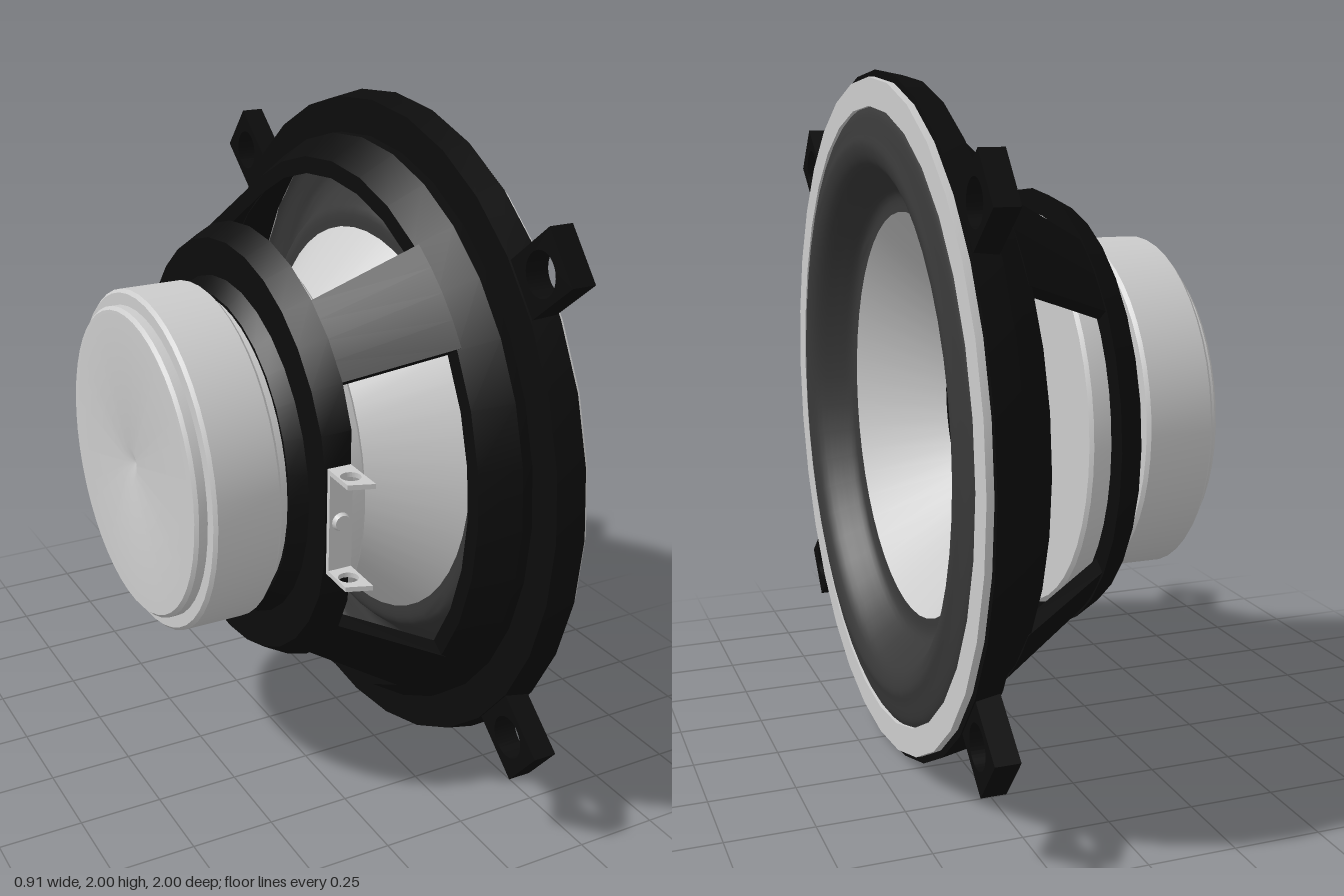
import * as THREE from 'three';
import { toCreasedNormals } from 'three/addons/utils/BufferGeometryUtils.js';

const grey = new THREE.MeshStandardMaterial({ color: 0xcccccc, side: THREE.DoubleSide });
const black = new THREE.MeshStandardMaterial({ color: 0x0c0c0c, side: THREE.DoubleSide });
const rubber = new THREE.MeshStandardMaterial({ color: 0x383838, side: THREE.DoubleSide });
const rad = THREE.MathUtils.degToRad;

function part(parent, name, geometry, material) {
  const mesh = new THREE.Mesh(geometry, material);
  mesh.name = name;
  parent.add(mesh);
  return mesh;
}

// Profile points are [radius, position along the axis]
function turned(profile, segments = 48, crease = 0.5) {
  const points = profile.map(([r, a]) => new THREE.Vector2(r, a));
  return toCreasedNormals(new THREE.LatheGeometry(points, segments), crease);
}

// Box bent around the axis and sloped outward
function armGeometry(centre) {
  const g = new THREE.BoxGeometry(1, 1, 1, 4, 1, 1);
  const p = g.attributes.position;
  for (let i = 0; i < p.count; i++) {
    const phi = centre + p.getX(i) * rad(22);
    const a = THREE.MathUtils.lerp(-0.075, 0.21, p.getY(i) + 0.5);
    const r = 0.652 + (a + 0.065) * 0.64 + (p.getZ(i) - 0.5) * 0.05;
    p.setXYZ(i, r * Math.sin(phi), a, r * Math.cos(phi));
  }
  return toCreasedNormals(g, 0.5);
}

// Flat plate with one round hole
function holedPlate(corners, hx, hy, hr, depth) {
  const shape = new THREE.Shape(corners.map(([x, y]) => new THREE.Vector2(x, y)));
  shape.holes.push(new THREE.Path().absarc(hx, hy, hr, 0, Math.PI * 2, true));
  return new THREE.ExtrudeGeometry(shape, { depth, bevelEnabled: false, curveSegments: 20 });
}

export function createModel() {
  const model = new THREE.Group();
  model.name = 'loudspeaker';

  // Round parts are turned about local y, then laid along +x
  const body = new THREE.Group();
  body.name = 'driver';
  body.rotation.z = -Math.PI / 2;
  body.position.y = 1;
  model.add(body);

  // Magnet and its plates
  part(body, 'backPlate', turned([[0, -0.435], [0.05, -0.455], [0.45, -0.455], [0.46, -0.445], [0.46, -0.41]]), grey);
  part(body, 'magnet', turned([[0, -0.42], [0.495, -0.42], [0.505, -0.41], [0.505, -0.225], [0.495, -0.215], [0, -0.215]]), grey);
  part(body, 'frontPlate', turned([[0.46, -0.22], [0.46, -0.175]]), grey);

  // Basket: rear ring with a flat for the terminals
  const ring = new THREE.LatheGeometry([
    [0, -0.18], [0.47, -0.18], [0.51, -0.14], [0.62, -0.14], [0.66, -0.065], [0, -0.065],
  ].map(([r, a]) => new THREE.Vector2(r, a)), 32);
  const rp = ring.attributes.position;
  for (let i = 0; i < rp.count; i++) rp.setZ(i, Math.min(rp.getZ(i), 0.6));
  part(body, 'basketRing', toCreasedNormals(ring, 0.5), black);

  for (let i = 0; i < 4; i++) part(body, 'basketArm', armGeometry(rad(45 + 90 * i)), black);

  part(body, 'basketFlange', turned([
    [0.77, 0.2], [0.82, 0.2], [0.88, 0.3], [0.88, 0.33], [0.985, 0.33],
    [1.0, 0.41], [0.89, 0.41], [0.85, 0.33], [0.77, 0.2],
  ], 32), black);

  // Mounting ears
  for (const angle of [39.4, -39.4, 140.6, -140.6]) {
    const g = holedPlate([[0.93, -0.085], [1.177, -0.085], [1.177, 0.085], [0.93, 0.085]], 1.077, 0, 0.062, 0.07);
    g.rotateX(-Math.PI / 2).translate(0, 0.335, 0).rotateY(rad(angle - 90));
    part(body, 'mountingEar', g, black);
  }

  // Moving parts
  part(body, 'spider', turned([[0.59, -0.07], [0.59, -0.015], [0.58, -0.005], [0.2, -0.005]]), grey);
  part(body, 'cone', turned([[0.25, -0.02], [0.27, 0], [0.35, 0.085], [0.6, 0.325]]), grey);
  part(body, 'dustCap', turned([[0.352, 0.088], [0.335, 0.1], [0.27, 0.118], [0.15, 0.135], [0, 0.14]], 48, 0.8), black);
  const roll = new THREE.SplineCurve([
    [0.905, 0.415], [0.88, 0.43], [0.83, 0.442], [0.79, 0.45], [0.74, 0.43],
    [0.69, 0.37], [0.65, 0.328], [0.598, 0.323],
  ].map(([r, a]) => new THREE.Vector2(r, a)));
  part(body, 'surround', turned(roll.getPoints(28).map((v) => [v.x, v.y]), 48, 1), rubber);
  part(body, 'gasket', turned([[0.98, 0.405], [0.98, 0.43], [0.9, 0.43], [0.9, 0.405]], 32), grey);

  // Terminal bracket with two bent tabs and a rivet
  const terminal = new THREE.Group();
  terminal.name = 'terminal';
  terminal.position.y = 1;
  model.add(terminal);
  part(terminal, 'terminalStrip', new THREE.BoxGeometry(0.07, 0.3, 0.014), grey).position.set(-0.1, 0, 0.607);
  const rivet = part(terminal, 'rivet', new THREE.CylinderGeometry(0.022, 0.027, 0.014, 16), grey);
  rivet.rotation.x = Math.PI / 2;
  rivet.position.set(-0.1, 0, 0.62);
  for (const side of [1, -1]) {
    const g = holedPlate([[-0.135, 0.6], [-0.065, 0.6], [-0.07, 0.74], [-0.14, 0.715]], -0.105, 0.67, 0.028, 0.014);
    g.rotateX(Math.PI / 2).translate(0, side * 0.148 + 0.007, 0);
    part(terminal, 'terminalTab', g, grey);
  }

  return model;
}
